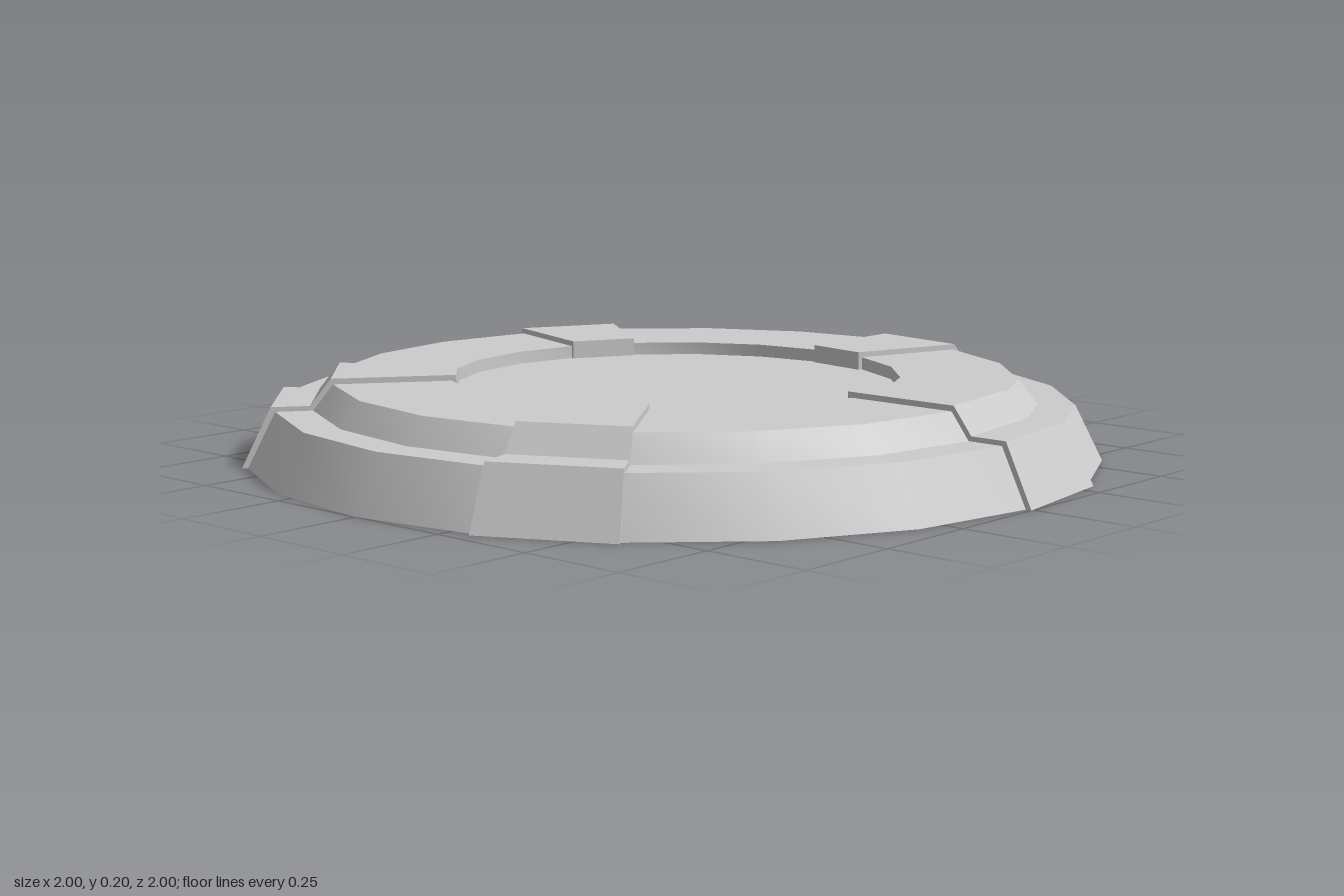
import * as THREE from 'three';
import { toCreasedNormals } from 'three/addons/utils/BufferGeometryUtils.js';

const SIDES = 20;
const STEP = (Math.PI * 2) / SIDES;
const pts = (list) => list.map(([r, y]) => new THREE.Vector2(r, y));

// One wedge of a ring: the radial profile is extruded, then bent round the y axis
function ringWedge(profile, start) {
  const geometry = new THREE.ExtrudeGeometry(new THREE.Shape(pts(profile)), {
    depth: 1, steps: 1, bevelEnabled: false,
  });
  const p = geometry.attributes.position;
  for (let i = 0; i < p.count; i++) {
    const r = p.getX(i);
    const a = start + p.getZ(i) * STEP;
    p.setXYZ(i, r * Math.cos(a), p.getY(i), r * Math.sin(a));
  }
  geometry.computeVertexNormals();
  return geometry;
}

export function createModel() {
  const model = new THREE.Group();
  model.name = 'roundPlatform';
  const material = new THREE.MeshStandardMaterial({ color: 0xcccccc });

  // Stepped base with a shallow round well in the top
  const baseProfile = pts([
    [0, 0], [0.993, 0], [0.929, 0.128], [0.843, 0.128],
    [0.797, 0.187], [0.525, 0.187], [0.525, 0.157], [0, 0.157],
  ]);
  const base = new THREE.Mesh(
    toCreasedNormals(new THREE.LatheGeometry(baseProfile, SIDES), 0.5), material);
  base.name = 'base';
  model.add(base);

  // Five raised clamps that follow the stepped rim
  const clampProfile = [
    [0.99, 0], [1.007, 0], [0.939, 0.139], [0.85, 0.139],
    [0.802, 0.2], [0.515, 0.2], [0.515, 0.1],
  ];
  for (let i = 0; i < 5; i++) {
    const start = -STEP + (i * Math.PI * 2) / 5;
    const clamp = new THREE.Mesh(ringWedge(clampProfile, start), material);
    clamp.name = `rimClamp${i + 1}`;
    model.add(clamp);
  }

  // The clamps stick out on the +x and -z sides, so recentre the whole
  model.children.forEach((part) => part.position.set(-0.007, 0, 0.007));
  return model;
}
